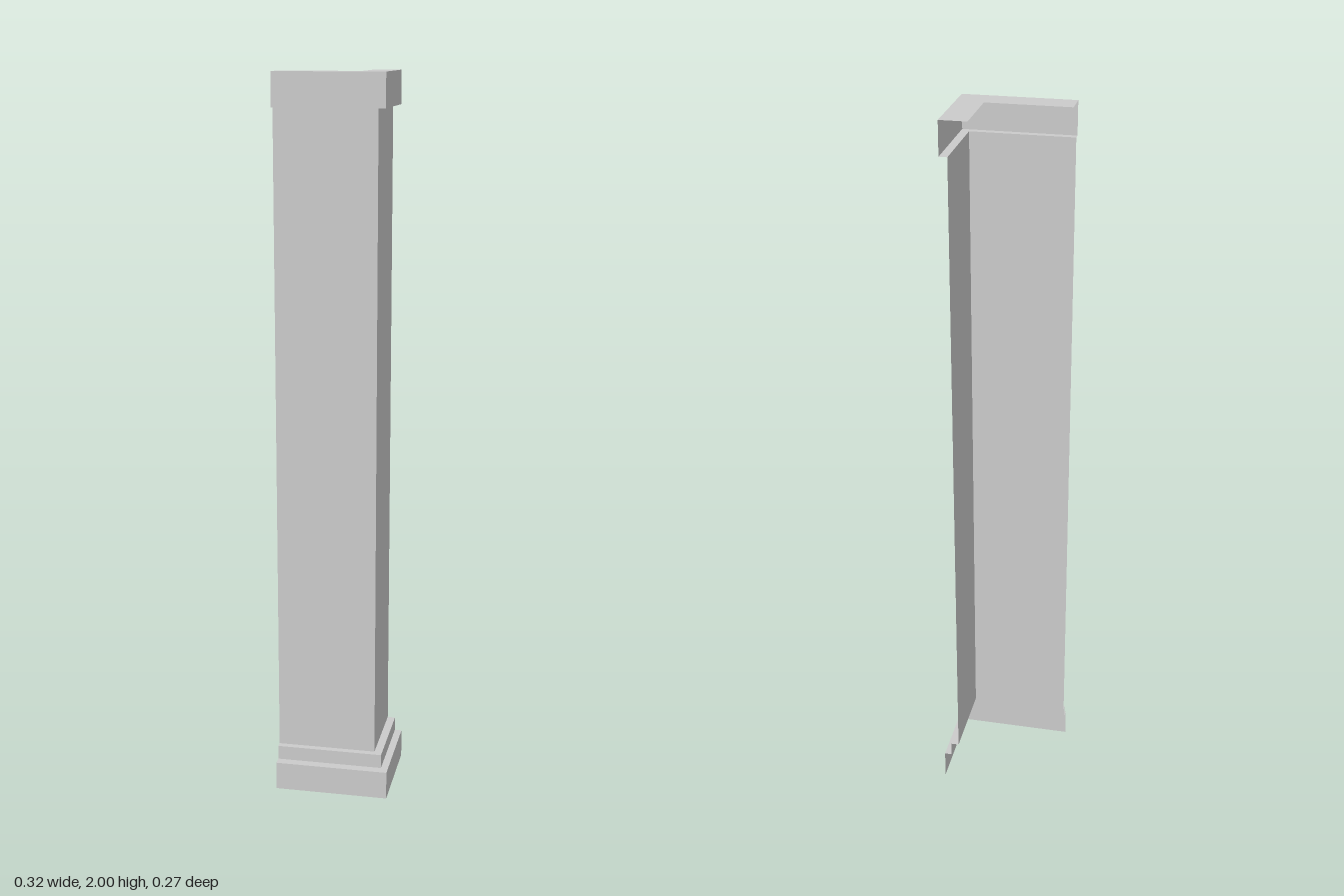
import * as THREE from 'three';

const END_X = -0.16; // free end of the front wing
const END_Z = -0.138; // free end of the side wing

// Each section lists [y, corner x, corner z] from top to bottom.
const sections = {
  capital: [[2, 0.066, 0.041], [2, 0.139, 0.111], [1.91, 0.139, 0.111], [1.91, 0.117, 0.093]],
  shaft: [[1.91, 0.117, 0.093], [0.12, 0.117, 0.093]],
  baseStep: [[0.12, 0.117, 0.093], [0.12, 0.139, 0.111], [0.08, 0.139, 0.111]],
  plinth: [[0.08, 0.139, 0.111], [0.08, 0.159, 0.137], [0, 0.159, 0.137]],
};

// Sweeps a section around the L-shaped corner as a thin open shell.
function cornerShell(profile) {
  const rows = profile.map(([y, x, z]) => [[END_X, y, z], [x, y, z], [x, y, END_Z]]);
  const positions = [];
  for (let i = 0; i < rows.length - 1; i++) {
    for (let j = 0; j < 2; j++) {
      const a = rows[i][j], b = rows[i][j + 1];
      const c = rows[i + 1][j], d = rows[i + 1][j + 1];
      positions.push(...a, ...c, ...d, ...a, ...d, ...b);
    }
  }
  const geometry = new THREE.BufferGeometry();
  geometry.setAttribute('position', new THREE.Float32BufferAttribute(positions, 3));
  geometry.computeVertexNormals();
  return geometry;
}

export function createModel() {
  const group = new THREE.Group();
  group.name = 'cornerPilaster';
  const material = new THREE.MeshStandardMaterial({
    color: 0xcccccc, flatShading: true, side: THREE.DoubleSide,
  });
  for (const [name, profile] of Object.entries(sections)) {
    const mesh = new THREE.Mesh(cornerShell(profile), material);
    mesh.name = name;
    group.add(mesh);
  }
  return group;
}
